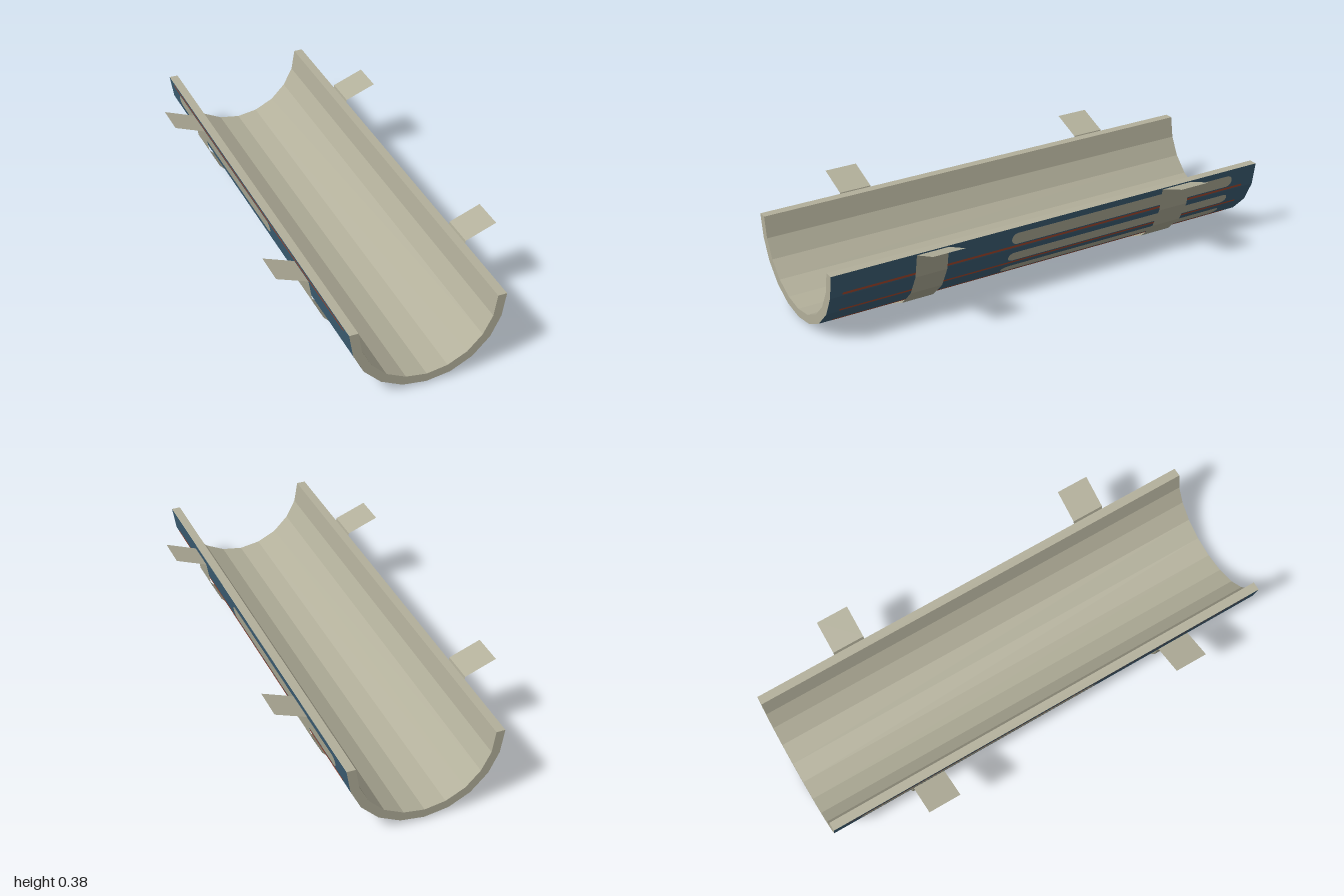
import * as THREE from 'three';

const mat = (name, color, side = THREE.FrontSide) => {
  const m = new THREE.MeshStandardMaterial({ color, side, flatShading: true });
  m.name = name;
  return m;
};

// full cross-section from the +x rim, under the bottom, to the -x rim
const mirrored = half => [...half, ...half.slice(0, -1).reverse().map(([x, y]) => [-x, y])];

// flat-shaded band swept along z from a cross-section
function strip(points, z0, z1) {
  const pos = [];
  for (let i = 0; i < points.length - 1; i++) {
    const [px, py] = points[i], [qx, qy] = points[i + 1];
    pos.push(px, py, z0, px, py, z1, qx, qy, z1, px, py, z0, qx, qy, z1, qx, qy, z0);
  }
  const g = new THREE.BufferGeometry();
  g.setAttribute('position', new THREE.Float32BufferAttribute(pos, 3));
  g.computeVertexNormals();
  return g;
}

// round-ended bar lying along its x axis
function barShape(x0, x1, y0, y1) {
  const r = (y1 - y0) / 2, ym = (y0 + y1) / 2;
  const s = new THREE.Shape();
  s.moveTo(x0 + r, y0);
  s.lineTo(x1 - r, y0);
  s.absarc(x1 - r, ym, r, -Math.PI / 2, Math.PI / 2, false);
  s.lineTo(x0 + r, y1);
  s.absarc(x0 + r, ym, r, Math.PI / 2, Math.PI * 1.5, false);
  return s;
}

export function createModel() {
  const model = new THREE.Group();
  const beige = mat('beige', 0xb3b09b);
  const strapBeige = beige.clone();
  strapBeige.side = THREE.DoubleSide;
  const blue = mat('blue', 0x3f6279);
  const orange = mat('orange', 0xa84a2f);

  const add = (name, geometry, material) => {
    const mesh = new THREE.Mesh(geometry, material);
    mesh.name = name;
    model.add(mesh);
    return mesh;
  };

  const outer = mirrored([[0.322, 0.33], [0.305, 0.23], [0.262, 0.143], [0.19, 0.07], [0.1, 0.025], [0, 0.01]]);
  const inner = mirrored([[0.285, 0.33], [0.27, 0.24], [0.23, 0.163], [0.168, 0.1], [0.087, 0.06], [0, 0.046]]);
  const innerBack = [...inner].reverse();

  // trough shell
  add('outerSkin', strip(outer, -1, 1), blue);
  add('innerLiningAndRims', strip([outer[outer.length - 1], ...innerBack, outer[0]], -1, 1), beige);
  const section = new THREE.Shape([...outer, ...innerBack].map(p => new THREE.Vector2(...p)));
  add('frontEnd', new THREE.ShapeGeometry(section), beige).position.z = 1;
  const back = add('backEnd', new THREE.ShapeGeometry(section), beige);
  back.position.z = -1;
  back.rotation.y = Math.PI;

  // painted bar and thin line on every outer facet
  const zAxis = new THREE.Vector3(0, 0, 1);
  for (let i = 0; i < outer.length - 1; i++) {
    const p = new THREE.Vector3(...outer[i], 0), q = new THREE.Vector3(...outer[i + 1], 0);
    const d = q.clone().sub(p), w = d.length();
    d.normalize();
    const n = zAxis.clone().cross(d);
    const place = new THREE.Matrix4().makeBasis(zAxis, d, n).setPosition(p.addScaledVector(n, 0.002));
    const bar = new THREE.ShapeGeometry(barShape(-0.88, 0.21, w * 0.27, w * 0.79), 6);
    const line = new THREE.ShapeGeometry(barShape(-0.94, 0.95, w * 0.84, w * 0.94), 2);
    add('paintedBar', bar.applyMatrix4(place), beige);
    add('paintedLine', line.applyMatrix4(place), orange);
  }

  // two thin straps with flared tabs
  const band = outer.map(([x, y]) => [x * 1.03, 0.33 + (y - 0.33) * 1.03]);
  const strap = [[0.462, 0.38], ...band, [-0.462, 0.38]];
  for (const [name, z] of [['frontStrap', 0.573], ['backStrap', -0.575]])
    add(name, strip(strap, z - 0.07, z + 0.07), strapBeige);

  return model;
}
